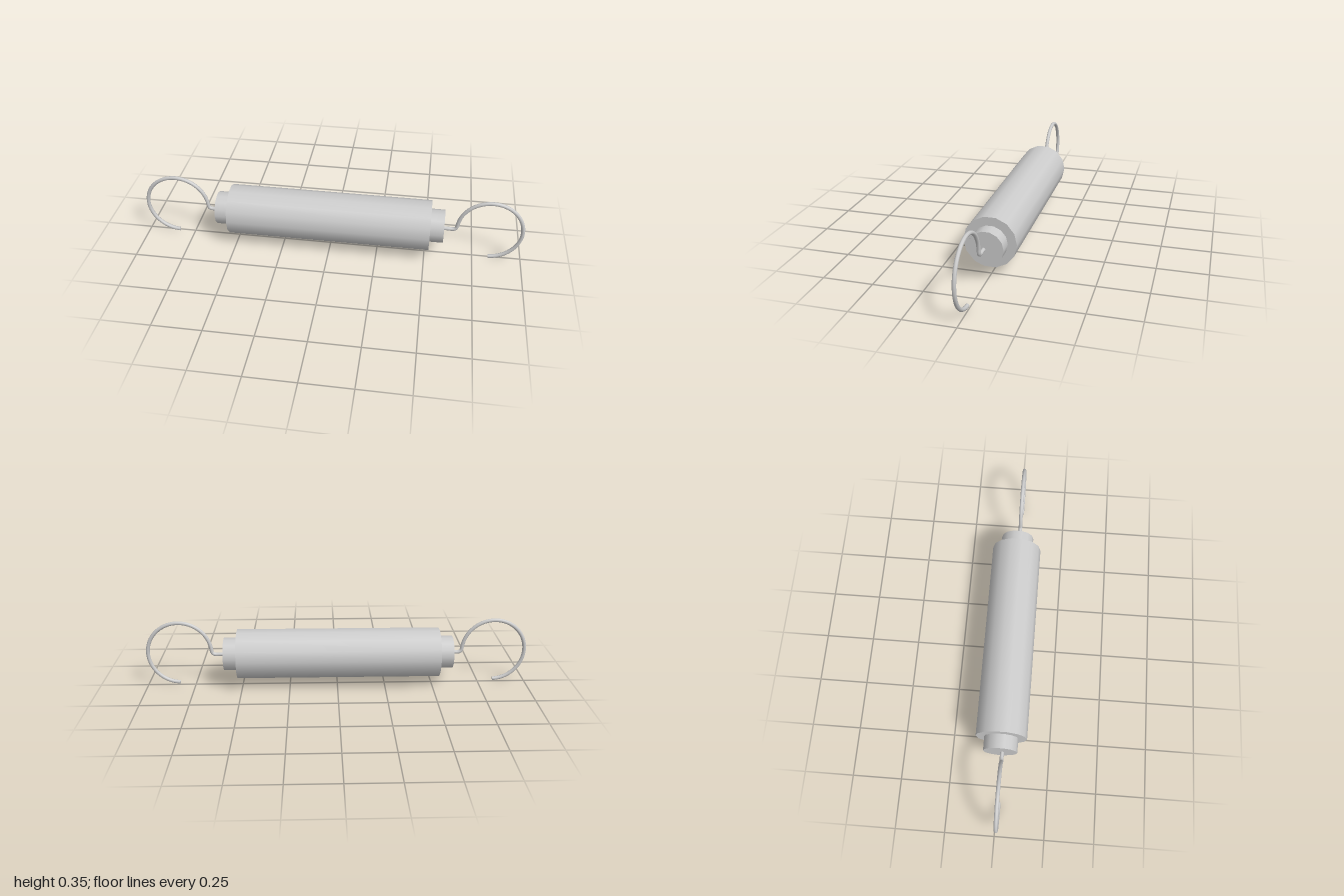
import * as THREE from 'three';

const SIDES = 14, AXIS_Y = 0.173, WIRE = 0.01;

export function createModel() {
  const group = new THREE.Group();
  const material = new THREE.MeshStandardMaterial({ color: 0xcccccc });

  const add = (name, geometry) => {
    const mesh = new THREE.Mesh(geometry, material);
    mesh.name = name;
    group.add(mesh);
    return mesh;
  };

  // Horizontal cylinder along x, with a corner at the top
  const barrel = (name, radius, x0, x1) => {
    const geometry = new THREE.CylinderGeometry(radius, radius, x1 - x0, SIDES);
    geometry.rotateZ(Math.PI / 2);
    add(name, geometry).position.set((x0 + x1) / 2, AXIS_Y, 0);
  };

  // Main coil body and the narrower collars at both ends
  barrel('body', 0.13, -0.532, 0.521);
  barrel('rightCollar', 0.086, -0.604, -0.532);
  barrel('leftCollar', 0.086, 0.521, 0.591);

  // Wire hook: short straight stub, then three quarters of a circle
  const hook = (name, side) => {
    const path = new THREE.CurvePath();
    const at = (x, y) => new THREE.Vector3(side * x, y, 0.01);
    const points = [at(0.57, 0.168), at(0.61, 0.168), at(0.642, 0.168), at(0.654, 0.175)];
    const steps = 24;
    for (let i = 1; i <= steps; i++) {
      const a = Math.PI - (i / steps) * Math.PI * 1.485;
      points.push(at(0.824 + 0.166 * Math.cos(a), 0.177 + 0.166 * Math.sin(a)));
    }
    const curve = new THREE.CatmullRomCurve3(points);
    add(name, new THREE.TubeGeometry(curve, 72, WIRE, 8));

    // Closed tip of the wire
    const tip = add(name + 'Tip', new THREE.CircleGeometry(WIRE, 8));
    const end = curve.getPoint(1);
    tip.position.copy(end);
    tip.lookAt(end.clone().add(curve.getTangent(1)));
  };
  hook('leftHook', 1);
  hook('rightHook', -1);

  return group;
}
